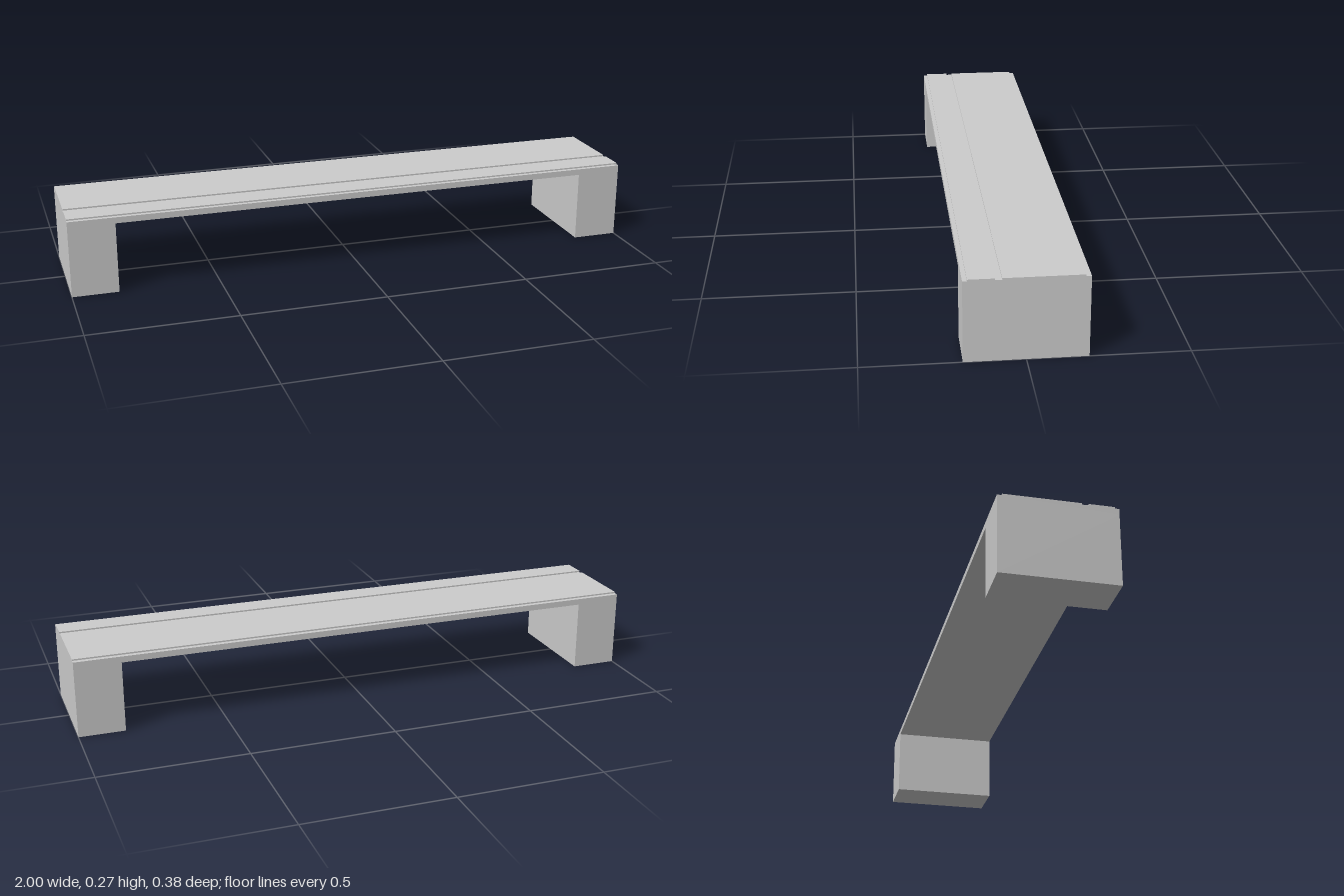
import * as THREE from 'three';

const LENGTH = 2, HALF_DEPTH = 0.19;
const DECK_BOTTOM = 0.244, STEP = 0.265, TOP = 0.27;
const LEG_WIDTH = 0.158;

export function createModel() {
  const group = new THREE.Group();
  const material = new THREE.MeshStandardMaterial({ color: 0xcccccc, flatShading: true });

  const add = (name, geometry) => {
    const mesh = new THREE.Mesh(geometry, material);
    mesh.name = name;
    group.add(mesh);
    return mesh;
  };

  // Deck: stepped cross-section [z, y] with rebated edges and a shallow groove, swept along x
  const profile = [
    [HALF_DEPTH, DECK_BOTTOM], [-HALF_DEPTH, DECK_BOTTOM], [-HALF_DEPTH, STEP],
    [-0.174, STEP], [-0.174, TOP], [0.073, TOP], [0.073, STEP],
    [0.094, STEP], [0.094, TOP], [0.176, TOP], [0.176, STEP], [HALF_DEPTH, STEP],
  ];
  const shape = new THREE.Shape(profile.map(([z, y]) => new THREE.Vector2(-z, y)));
  const deck = new THREE.ExtrudeGeometry(shape, { depth: LENGTH, bevelEnabled: false });
  deck.translate(0, 0, -LENGTH / 2).rotateY(Math.PI / 2);
  add('deck', deck);

  // Block legs, flush with the deck ends
  for (const side of [-1, 1]) {
    const leg = add(side > 0 ? 'leftLeg' : 'rightLeg',
      new THREE.BoxGeometry(LEG_WIDTH, DECK_BOTTOM, HALF_DEPTH * 2));
    leg.position.set(side * (LENGTH - LEG_WIDTH) / 2, DECK_BOTTOM / 2, 0);
  }

  return group;
}
